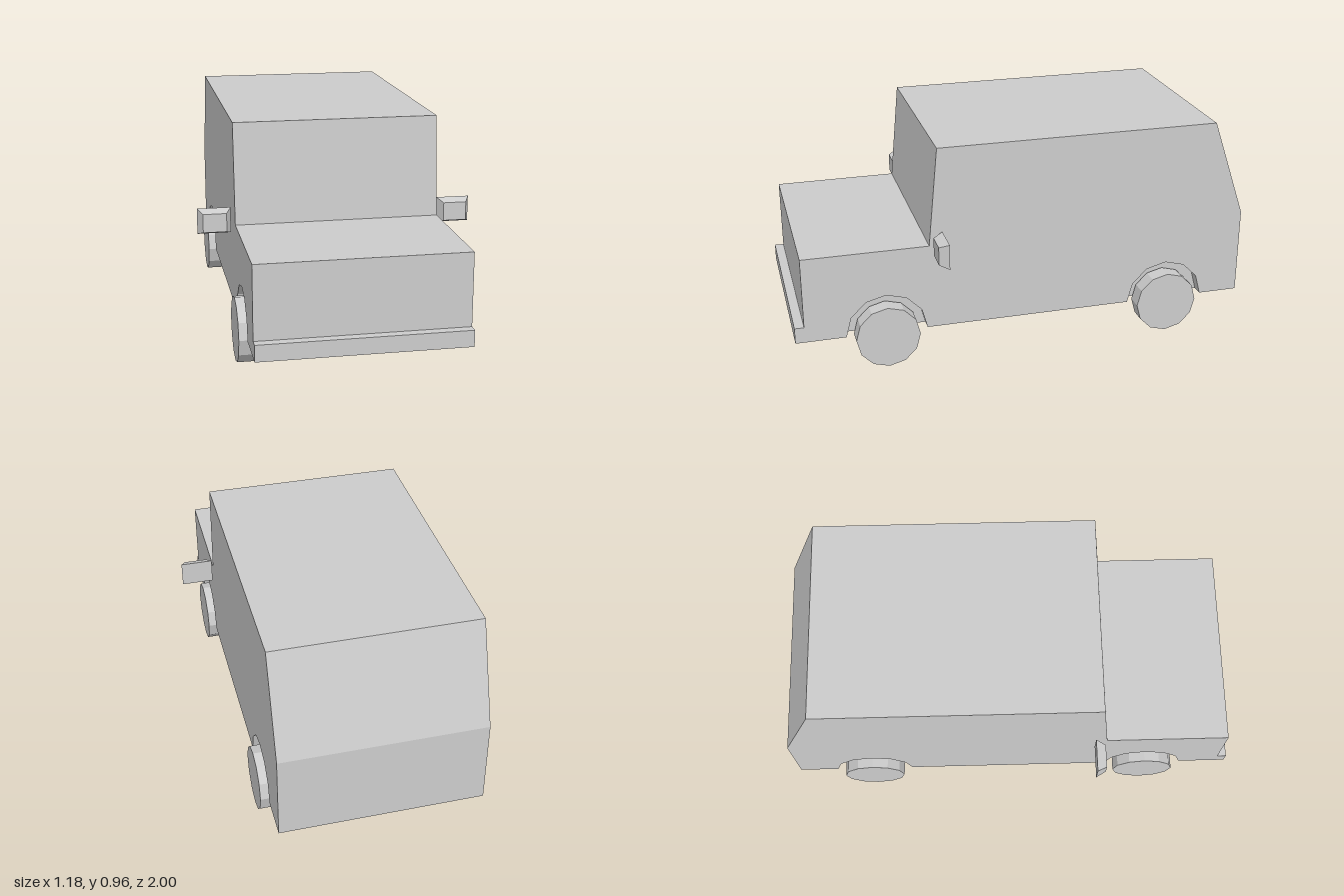
import * as THREE from 'three';

const FLOOR = 0.147, HALF_WIDTH = 0.437, WELL_X = 0.387;
const WHEEL_R = 0.138, ARCH_R = 0.175;
const AXLES = { front: 0.61, rear: -0.65 };

const material = new THREE.MeshStandardMaterial({ color: 0xcccccc, flatShading: true });

function addMesh(parent, name, geometry) {
  const mesh = new THREE.Mesh(geometry, material);
  mesh.name = name;
  parent.add(mesh);
  return mesh;
}

// Side profile as (z, y) points, optionally notched by the wheel arches
function bodyProfile(withArches) {
  const points = [
    [1, FLOOR], [1, 0.217], [0.96, 0.217], [0.96, 0.527], [0.42, 0.527],
    [0.38, 0.957], [-0.85, 0.957], [-1, 0.527], [-1, FLOOR],
  ];
  if (withArches) {
    for (const z of [AXLES.rear, AXLES.front]) {
      for (let i = 6; i >= 0; i--) {
        const a = (i * Math.PI) / 6;
        points.push([z + ARCH_R * Math.cos(a), FLOOR + ARCH_R * Math.sin(a)]);
      }
    }
  }
  return new THREE.Shape(points.map(([z, y]) => new THREE.Vector2(z, y)));
}

// Extrudes a profile across the car between two x positions
function slab(withArches, x0, x1) {
  const geometry = new THREE.ExtrudeGeometry(bodyProfile(withArches), { depth: x1 - x0, bevelEnabled: false });
  return geometry.rotateY(-Math.PI / 2).translate(x1, 0, 0);
}

// Mirror housing: a box whose front face is shrunk
function mirrorGeometry() {
  const geometry = new THREE.BoxGeometry(0.142, 0.11, 0.042);
  const p = geometry.attributes.position;
  for (let i = 0; i < p.count; i++) {
    if (p.getZ(i) > 0) p.setXY(i, p.getX(i) * 0.7, p.getY(i) * 0.72);
  }
  geometry.computeVertexNormals();
  return geometry;
}

export function createModel() {
  const car = new THREE.Group();
  car.name = 'car';

  // Body: plain core plus side panels with wheel arches
  const body = new THREE.Group();
  body.name = 'body';
  car.add(body);
  addMesh(body, 'bodyCore', slab(false, -WELL_X, WELL_X));
  addMesh(body, 'leftSidePanel', slab(true, WELL_X, HALF_WIDTH));
  addMesh(body, 'rightSidePanel', slab(true, -HALF_WIDTH, -WELL_X));

  // Axles and wheels
  for (const [end, z] of Object.entries(AXLES)) {
    const axle = new THREE.CylinderGeometry(0.035, 0.035, 0.82, 4).rotateZ(Math.PI / 2);
    addMesh(car, `${end}Axle`, axle).position.set(0, WHEEL_R, z);
    for (const [side, s] of [['Left', 1], ['Right', -1]]) {
      const wheel = new THREE.CylinderGeometry(WHEEL_R, WHEEL_R, 0.072, 12).rotateZ(Math.PI / 2);
      addMesh(car, `${end}${side}Wheel`, wheel).position.set(s * 0.432, WHEEL_R, z);
    }
  }

  // Door mirrors
  for (const [side, s] of [['left', 1], ['right', -1]]) {
    addMesh(car, `${side}Mirror`, mirrorGeometry()).position.set(s * 0.521, 0.537, 0.387);
  }

  return car;
}
